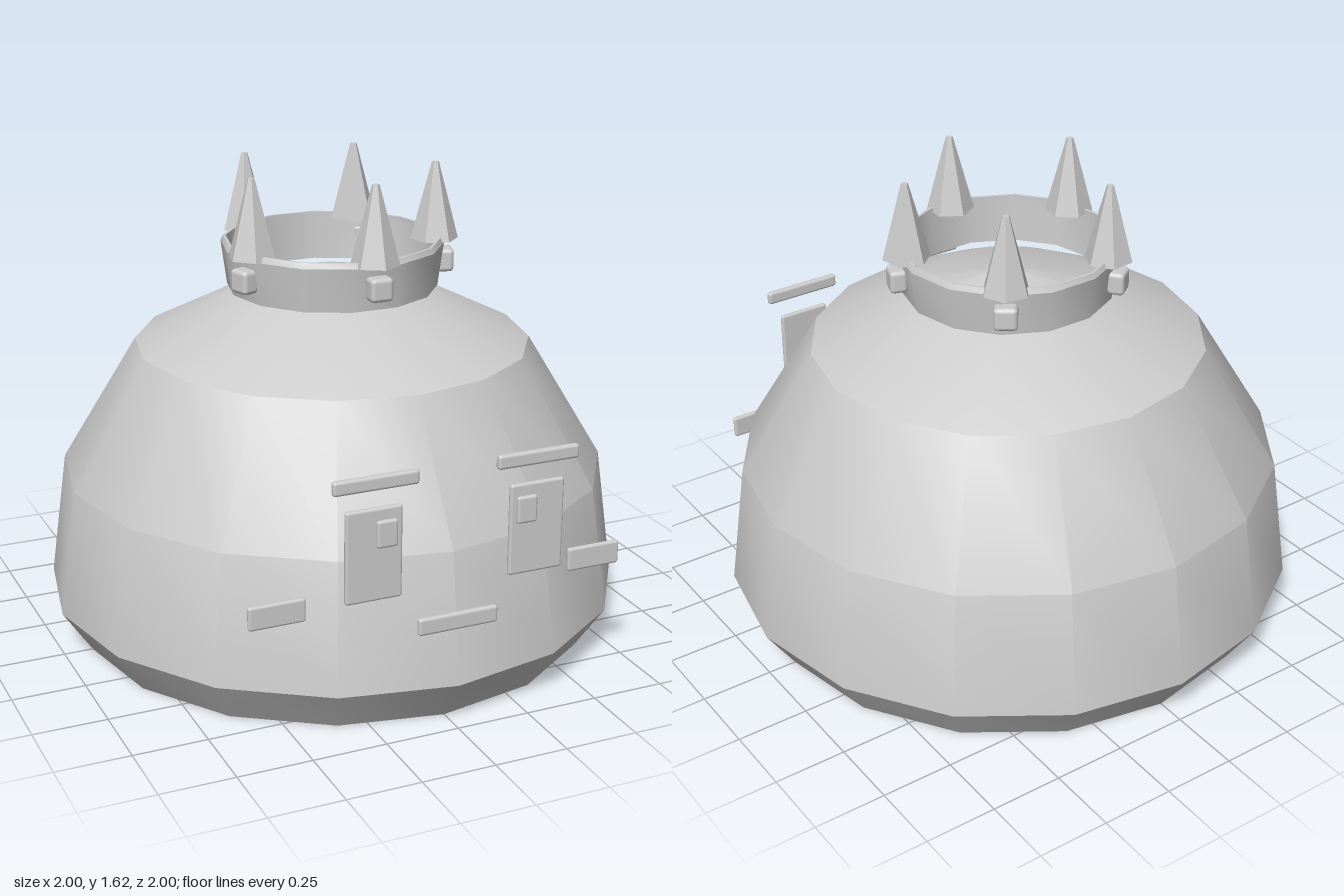
import * as THREE from 'three';
import { toCreasedNormals } from 'three/addons/utils/BufferGeometryUtils.js';
import { RoundedBoxGeometry } from 'three/addons/geometries/RoundedBoxGeometry.js';

export function createModel() {
  const group = new THREE.Group();
  group.name = 'crownedDome';
  const grey = new THREE.MeshStandardMaterial({ color: 0xcccccc, side: THREE.DoubleSide });
  grey.name = 'light grey';

  const add = (name, geometry, x = 0, y = 0, z = 0, parent = group) => {
    const mesh = new THREE.Mesh(geometry, grey);
    mesh.name = name;
    mesh.position.set(x, y, z);
    parent.add(mesh);
    return mesh;
  };
  // Lathe with soft sides and sharp steps in the profile
  const lathe = (profile, sides, start) => toCreasedNormals(
    new THREE.LatheGeometry(profile.map(([r, y]) => new THREE.Vector2(r, y)), sides, start),
    THREE.MathUtils.degToRad(30));

  // Hollow body, open underneath, with a pinhole at the apex
  add('body', lathe([[0.9, 0], [1, 0.15], [0.94, 0.585], [0.68, 1.015], [0.31, 1.2], [0.015, 1.27]], 16, 0));

  // Crown band, a thin flared wall with a bevelled rim
  const crown = new THREE.Group();
  crown.name = 'crown';
  group.add(crown);
  add('crownBand', lathe([[0.36, 1.205], [0.38, 1.355], [0.372, 1.373], [0.362, 1.373],
    [0.362, 1.355], [0.35, 1.205], [0.36, 1.205]], 14, Math.PI / 2), 0, 0, 0, crown);

  // Five spikes, each with a jewel below it
  const spike = toCreasedNormals(new THREE.CylinderGeometry(0.012, 0.082, 0.265, 6), 0.5);
  const jewel = new RoundedBoxGeometry(0.08, 0.08, 0.06, 2, 0.015);
  for (let i = 0; i < 5; i++) {
    const point = new THREE.Group();
    point.name = 'crownPoint';
    point.rotation.y = (i * Math.PI * 2) / 5;
    crown.add(point);
    add('spike', spike, 0, 1.49, 0.35, point);
    add('jewel', jewel, 0, 1.285, 0.385, point);
  }

  // Face plates
  const plate = (name, w, h, d, x, y, z) =>
    add(name, new RoundedBoxGeometry(w, h, d, 2, Math.min(0.01, d * 0.45)), x, y, z);
  for (const [side, s] of [['left', 1], ['right', -1]]) {
    plate(side + 'Eye', 0.19, 0.305, 0.02, s * 0.28, 0.63, 0.953);
    plate(side + 'Pupil', 0.07, 0.09, 0.02, s * 0.24, 0.698, 0.965);
    plate(side + 'Brow', 0.285, 0.047, 0.025, s * 0.277, 0.866, 0.96);
    plate(side + 'Cheek', 0.19, 0.08, 0.02, s * 0.557, 0.44, 0.853);
  }
  plate('mouth', 0.275, 0.058, 0.022, 0, 0.369, 0.978);

  return group;
}
